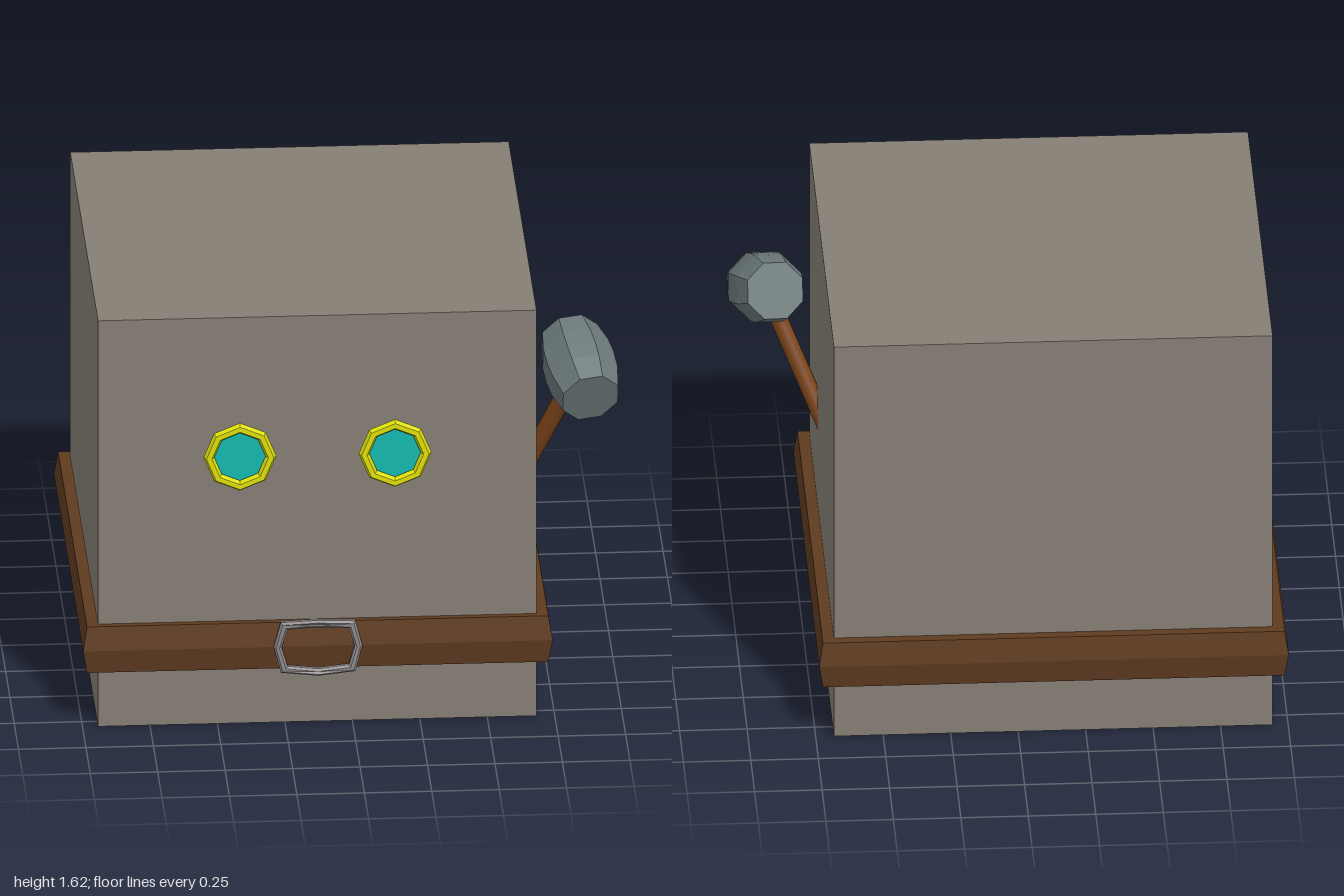
import * as THREE from 'three';

const mat = (color, flatShading = true) => new THREE.MeshStandardMaterial({ color, flatShading });

function addMesh(parent, name, geometry, material) {
  const mesh = new THREE.Mesh(geometry, material);
  mesh.name = name;
  parent.add(mesh);
  return mesh;
}

export function createModel() {
  const model = new THREE.Group();
  const cx = -0.13;

  // Plain stone cube
  const body = addMesh(model, 'body', new THREE.BoxGeometry(1.625, 1.625, 1.625), mat(0x857e75));
  body.position.set(cx, 0.8125, -0.013);

  // Square belt: a four-sided lathe with a ridge along its middle
  const beltProfile = [[0.8, -0.092], [0.855, -0.092], [0.87, 0], [0.855, 0.092], [0.8, 0.092]]
    .map(([r, y]) => new THREE.Vector2(r * Math.SQRT2, y));
  const belt = addMesh(model, 'belt', new THREE.LatheGeometry(beltProfile, 4, Math.PI / 4), mat(0x5f3b20));
  belt.position.set(cx, 0.318, -0.02);
  belt.scale.z = 0.988;

  // Buckle: angular frame, bowed back toward its rim
  const outline = [[0.156, 0], [0.132, 0.093], [0, 0.103], [-0.132, 0.093],
    [-0.156, 0], [-0.132, -0.093], [0, -0.103], [132 / -1000, -0.093]];
  outline[7][0] = 0.132;
  const framePoints = (s) => outline.map(([x, y]) =>
    new THREE.Vector2(x - Math.sign(x) * s, y - Math.sign(y) * s));
  const frame = new THREE.Shape(framePoints(0));
  frame.holes.push(new THREE.Path(framePoints(0.012).reverse()));
  const buckleGeo = new THREE.ExtrudeGeometry(frame, {
    depth: 0.015, bevelEnabled: true, bevelThickness: 0.008, bevelSize: 0.008, bevelSegments: 1,
  });
  const p = buckleGeo.attributes.position;
  for (let i = 0; i < p.count; i++) {
    p.setZ(i, p.getZ(i) - 0.6 * p.getX(i) ** 2);
  }
  buckleGeo.computeVertexNormals();
  addMesh(model, 'buckle', buckleGeo, mat(0x8f8a8c)).position.set(cx, 0.32, 0.85);

  // Eyes: octagonal rims around flat lenses
  const rimMat = mat(0xdede08);
  const lensMat = mat(0x14b8ad);
  for (const [side, x] of [['left', 0.157], ['right', -0.418]]) {
    const eye = new THREE.Group();
    eye.name = side + 'Eye';
    eye.position.set(x, 1.075, 0.82);
    addMesh(eye, 'rim', new THREE.TorusGeometry(0.115, 0.02, 6, 8), rimMat);
    addMesh(eye, 'lens', new THREE.CircleGeometry(0.115, 8), lensMat).position.z = -0.012;
    model.add(eye);
  }

  // Hammer: local y runs up the handle, local z along the head
  const hammer = new THREE.Group();
  hammer.name = 'hammer';
  const up = new THREE.Vector3(0.43, 1, 0.326).normalize();
  const along = new THREE.Vector3(0.06, -0.125, 0.305);
  const across = new THREE.Vector3().crossVectors(up, along).normalize();
  along.crossVectors(across, up);
  hammer.quaternion.setFromRotationMatrix(new THREE.Matrix4().makeBasis(across, up, along));
  hammer.position.set(0.868, 1.232, 0.415);

  // Barrel-shaped head with closed ends
  const headProfile = [[0, -0.165], [0.113, -0.165], [0.134, -0.07], [0.138, 0], [0.134, 0.07], [0.113, 0.165], [0, 0.165]]
    .map(([r, y]) => new THREE.Vector2(r, y));
  const head = addMesh(hammer, 'hammerHead', new THREE.LatheGeometry(headProfile, 8), mat(0x6b7879));
  head.rotation.x = Math.PI / 2;

  // Handle runs into the side of the body
  const handle = addMesh(hammer, 'hammerHandle', new THREE.CylinderGeometry(0.033, 0.033, 0.66, 12), mat(0x7a4319, false));
  handle.position.y = -0.33;
  model.add(hammer);

  return model;
}
